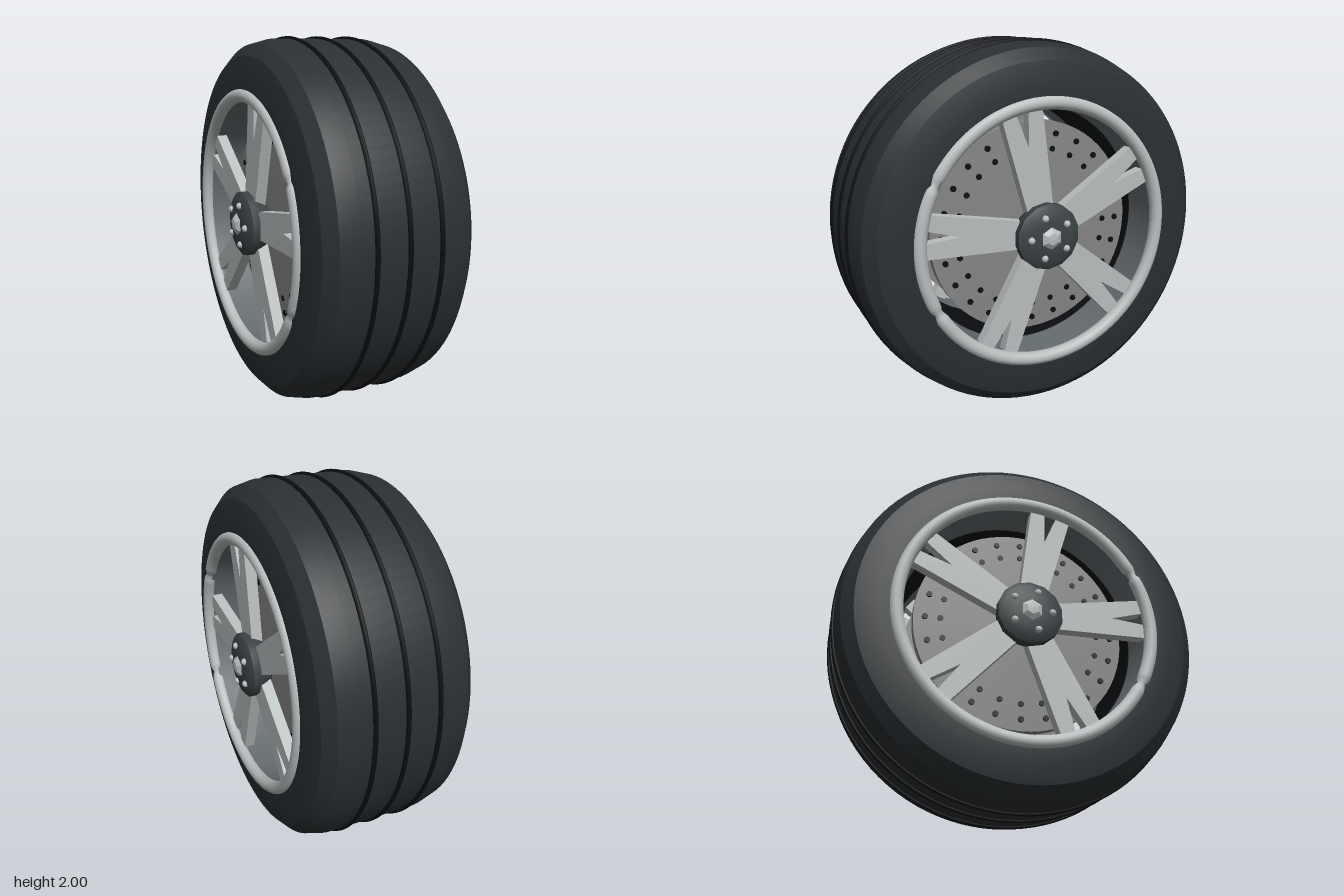
import * as THREE from 'three';
import { toCreasedNormals } from 'three/addons/utils/BufferGeometryUtils.js';

const mat = (color, double = false) =>
  new THREE.MeshStandardMaterial({ color, side: double ? THREE.DoubleSide : THREE.FrontSide });
const rubber = mat(0x2a2f32);
const black = mat(0x0c0d10, true);
const barrelGrey = mat(0x666d70, true);
const silver = mat(0xb8bdbd);
const steel = mat(0x858585);
const darkMetal = mat(0x3c4244);

function add(parent, name, geometry, material) {
  const mesh = new THREE.Mesh(geometry, material);
  mesh.name = name;
  parent.add(mesh);
  return mesh;
}

// Revolves [radius, z] points around the z axis; z rises along outer faces
function revolve(points, segments, crease = 0.45) {
  const g = new THREE.LatheGeometry(points.map(([r, z]) => new THREE.Vector2(r, z)), segments);
  g.rotateX(Math.PI / 2);
  return toCreasedNormals(g, crease);
}

// Rim lip: a torus pinched at two joints
function lipGeometry(jointAngles) {
  const R = 0.693, g = new THREE.TorusGeometry(R, 0.036, 14, 180);
  const p = g.attributes.position;
  for (let i = 0; i < p.count; i++) {
    const x = p.getX(i), y = p.getY(i), a = Math.atan2(y, x);
    let k = 1;
    for (const j of jointAngles) {
      const d = Math.atan2(Math.sin(a - j), Math.cos(a - j));
      k -= 0.4 * Math.exp(-((d / 0.03) ** 2));
    }
    const r = R + (Math.hypot(x, y) - R) * k;
    p.setXYZ(i, r * Math.cos(a), r * Math.sin(a), p.getZ(i) * k);
  }
  g.computeVertexNormals();
  return g;
}

// Forked spoke lying along +x
function spokeGeometry() {
  const outline = [[0.08, -0.07], [0.665, -0.115], [0.665, -0.035], [0.48, 0],
    [0.665, 0.035], [0.665, 0.115], [0.08, 0.07]];
  const shape = new THREE.Shape(outline.map(([x, y]) => new THREE.Vector2(x, y)));
  return new THREE.ExtrudeGeometry(shape, { depth: 0.06, bevelEnabled: false });
}

// One face of the wheel, facing +z before it is turned outward
function wheelFace(side) {
  const face = new THREE.Group();
  face.name = side > 0 ? 'leftFace' : 'rightFace';
  const turn = (deg) => THREE.MathUtils.degToRad(side > 0 ? deg : 180 - deg);

  const lip = add(face, 'rimLip', lipGeometry([turn(151.5), turn(208.5)]), silver);
  lip.position.z = 0.42;

  const spoke = spokeGeometry();
  for (let i = 0; i < 5; i++) {
    const m = add(face, 'spoke', spoke, silver);
    m.rotation.z = turn(30 + 72 * i);
    m.position.z = 0.35;
  }

  // Brake disc with two rings of drilled holes
  add(face, 'brakeDisc', revolve([[0, 0.2], [0.585, 0.2], [0.585, 0.25], [0, 0.28]], 64), steel);
  const hole = new THREE.CylinderGeometry(0.016, 0.016, 0.03, 12).rotateX(Math.PI / 2);
  for (const r of [0.44, 0.523]) {
    for (let i = 0; i < 24; i++) {
      const a = turn(15 * i);
      add(face, 'discHole', hole, black).position.set(r * Math.cos(a), r * Math.sin(a), 0.248);
    }
  }

  // Hub cap, wheel bolts and centre nut
  add(face, 'hubCap', revolve([[0, 0.3], [0.15, 0.34], [0.178, 0.4], [0.178, 0.45],
    [0.15, 0.467], [0.09, 0.478], [0, 0.482]], 14, 0.7), darkMetal);
  const bolt = new THREE.SphereGeometry(0.019, 12, 8);
  for (let i = 0; i < 5; i++) {
    const a = turn(36 + 72 * i);
    add(face, 'bolt', bolt, silver).position.set(0.113 * Math.cos(a), 0.113 * Math.sin(a), 0.474);
  }
  const nut = revolve([[0.062, 0.46], [0.06, 0.482], [0.034, 0.499], [0, 0.503]], 6, 0.2);
  add(face, 'centreNut', nut, silver);

  face.rotation.y = side * Math.PI / 2;
  return face;
}

export function createModel() {
  const model = new THREE.Group();
  model.name = 'wheel';

  // Tyre and barrel revolve around z, then turn onto the x axis
  const body = new THREE.Group();
  body.name = 'tyreAndBarrel';
  body.rotation.y = Math.PI / 2;
  const half = [[0.254, 0.987], [0.35, 0.962], [0.407, 0.9], [0.432, 0.79], [0.432, 0.69], [0.41, 0.67]];
  const profile = [
    ...half.slice().reverse().map(([z, r]) => [r, -z]),
    ...half.map(([z, r]) => [r, z]),
    [0.67, -0.41],
  ];
  add(body, 'tyre', revolve(profile, 96), rubber);

  for (const z of [-0.174, 0, 0.174]) {
    add(body, 'treadLine', new THREE.TorusGeometry(0.987, 0.013, 8, 96), black).position.z = z;
  }

  add(body, 'barrelMiddle', revolve([[0.66, -0.2], [0.66, 0.2]], 64), black);
  for (const s of [-1, 1]) {
    const z = [0.2 * s, 0.42 * s].sort((a, b) => a - b);
    add(body, 'barrelEnd', revolve([[0.664, z[0]], [0.664, z[1]]], 64), barrelGrey);
  }
  model.add(body, wheelFace(1), wheelFace(-1));

  model.children.forEach((c) => { c.position.y = 1; });
  return model;
}
